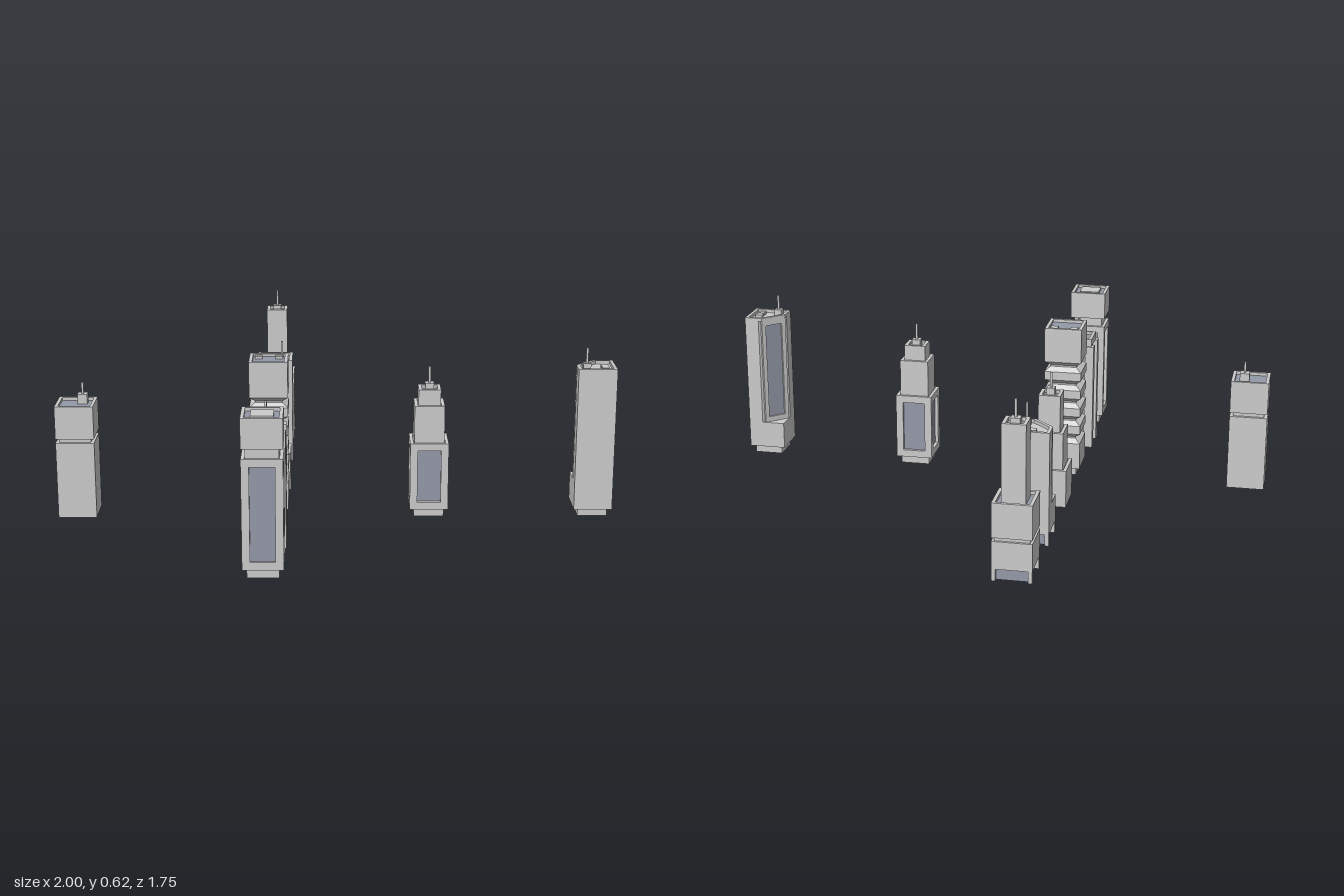
import * as THREE from 'three';

const wall = new THREE.MeshStandardMaterial({ color: 0xcccccc, flatShading: true });
const glass = new THREE.MeshStandardMaterial({ color: 0x9499a8, flatShading: true });
const W = 0.138; // full footprint width
const RIM = 0.012; // parapet thickness and height

function add(g, name, geo, mat = wall) {
  const m = new THREE.Mesh(geo, mat);
  m.name = name;
  g.add(m);
  return m;
}

// Square block from y0 to y1
function block(g, name, w, y0, y1, x = 0, z = 0, mat = wall) {
  add(g, name, new THREE.BoxGeometry(w, y1 - y0, w), mat).position.set(x, (y0 + y1) / 2, z);
}

function rect(w, h, C = THREE.Shape) {
  return new C([[-w, -h], [w, -h], [w, h], [-w, h]].map(([x, y]) => new THREE.Vector2(x / 2, y / 2)));
}

// Plan outline (x, -z) raised from y0 to y1
function prism(g, name, shape, y0, y1, mat = wall) {
  const geo = new THREE.ExtrudeGeometry(shape, { depth: y1 - y0, bevelEnabled: false });
  geo.rotateX(-Math.PI / 2).translate(0, y0, 0);
  add(g, name, geo, mat);
}

// Parapet around a sunken roof; the roof surface is one rim below y1
function roof(g, w, y1, mat = glass) {
  const ring = rect(w, w);
  ring.holes.push(rect(w - 2 * RIM, w - 2 * RIM, THREE.Path));
  prism(g, 'parapet', ring, y1 - RIM, y1);
  block(g, 'roofDeck', w - 2 * RIM, y1 - RIM - 0.002, y1 - RIM + 0.001, 0, 0, mat);
}

// Block with a sunken roof
function tier(g, name, w, y0, y1) {
  block(g, name, w, y0, y1 - RIM);
  roof(g, w, y1);
}

function antenna(g, y0, y1, top, w = 0.032, x = 0, z = 0) {
  block(g, 'antennaBase', w, y0 - RIM, y1, x, z);
  block(g, 'antenna', 0.008, y1, top, x, z);
}

// Frame panel in the xy plane, with a window hole
function framePanel(w, h, ww, wh, depth) {
  const s = rect(w, h);
  s.holes.push(rect(ww, wh, THREE.Path));
  return new THREE.ExtrudeGeometry(s, { depth, bevelEnabled: false });
}

// Glass core behind four framed windows
function windowBody(g, y0, y1) {
  const d = 0.012, h = y1 - y0;
  block(g, 'windowGlass', W - 2 * d, y0 + 0.001, y1 - RIM - 0.001, 0, 0, glass);
  for (let i = 0; i < 4; i++) {
    const p = add(g, 'windowFrame', framePanel(W, h, 0.084, h - 0.054, d)
      .translate(0, (y0 + y1) / 2, W / 2 - d));
    p.rotation.y = i * Math.PI / 2;
  }
  block(g, 'bodyFloor', W - 0.002, y0, y0 + 0.005);
  roof(g, W, y1);
}

// Glazed ground floor between corner posts
function lobby(g, h) {
  block(g, 'lobbyGlass', W - 0.028, 0, h, 0, 0, glass);
  for (const sx of [-1, 1]) for (const sz of [-1, 1])
    block(g, 'cornerPost', 0.014, 0, h, sx * (W / 2 - 0.007), sz * (W / 2 - 0.007));
}

// Square plan with the (-x, -z) corner cut off
function cutSquare(w, cut, C = THREE.Shape) {
  const h = w / 2;
  return new C([[-h, -h], [h, -h], [h, h], [-h + cut, h], [-h, h - cut]]
    .map(([x, y]) => new THREE.Vector2(x, y)));
}

// Tower with a cut, glazed corner above a square podium
function cornerTower(g, y0, podium, top, tip) {
  const cut = 0.071, d = 0.01;
  block(g, 'podium', W, y0, podium);
  prism(g, 'shaft', cutSquare(W, cut + d * Math.SQRT2), podium, top - RIM);
  const ring = cutSquare(W, cut);
  ring.holes.push(cutSquare(W - 2 * RIM, cut - 0.007, THREE.Path));
  prism(g, 'parapet', ring, top - RIM, top);
  // Glazed facet, facing the cut corner
  const facet = new THREE.Group();
  facet.name = 'cornerWindow';
  facet.rotation.y = -Math.PI * 0.75;
  const h = top - RIM - podium, r = (W - cut) / Math.SQRT2;
  add(facet, 'cornerFrame', framePanel(cut * Math.SQRT2, h, 0.068, h - 0.04, d))
    .position.set(0, podium + h / 2, r - d);
  add(facet, 'cornerGlass', new THREE.BoxGeometry(0.07, h - 0.03, 0.004), glass)
    .position.set(0, podium + h / 2, r - d);
  g.add(facet);
  for (const z of [-0.004, 0.028]) block(g, 'roofUnit', 0.026, top - RIM, top - 0.002, 0.032, z);
  antenna(g, top, top + 0.014, tip, 0.027, -0.036, 0.028);
}

const buildings = {
  spireTower: [-0.237, -0.807, g => {
    lobby(g, 0.042);
    block(g, 'base', W, 0.042, 0.14);
    block(g, 'neck', 0.12, 0.14, 0.153);
    tier(g, 'midBlock', W, 0.153, 0.275);
    tier(g, 'shaft', 0.082, 0.263, 0.54);
    antenna(g, 0.54, 0.552, 0.614);
  }],
  shortCornerTower: [-0.237, -0.492, g => {
    lobby(g, 0.042);
    cornerTower(g, 0.042, 0.14, 0.413, 0.483);
    g.rotation.y = Math.PI / 2;
  }],
  notchedTower: [-0.237, -0.131, g => {
    // Two lower tiers share a slot in the front
    const n = 0.025, back = -0.04;
    const slotted = (w, front) => {
      const h = w / 2, f = -front / 2;
      return [[-h, f], [-n, f], [-n, back], [n, back], [n, f], [h, f], [h, h], [-h, h]]
        .map(([x, y]) => new THREE.Vector2(x, y));
    };
    for (const [w, y0, y1] of [[W, 0, 0.14], [0.108, 0.128, 0.277]]) {
      prism(g, 'slottedTier', new THREE.Shape(slotted(w, w)), y0, y1 - RIM);
      prism(g, 'terrace', new THREE.Shape(slotted(w - 0.02, w - 0.02)), y1 - RIM, y1 - RIM + 0.001, glass);
      const t = RIM, h = w / 2;
      // Parapet walls, open at the slot
      const walls = [[w, t, 0, -h + t / 2], [t, w, h - t / 2, 0], [t, w, -h + t / 2, 0],
        [h - n, t, (h + n) / 2, h - t / 2], [h - n, t, -(h + n) / 2, h - t / 2]];
      for (const [a, b, x, z] of walls)
        add(g, 'parapet', new THREE.BoxGeometry(a, t, b)).position.set(x, y1 - t / 2, z);
    }
    tier(g, 'topTier', 0.08, 0.12, 0.413);
    antenna(g, 0.413, 0.434, 0.49, 0.03);
  }],
  ribbedTower: [-0.237, 0.188, g => {
    // Square profile with V grooves, as a four-sided lathe
    const o = W / Math.SQRT2, k = (W - 0.04) / Math.SQRT2, p = (W - 0.03) / Math.SQRT2;
    const pts = [[0, 0], [p, 0], [p, 0.03], [o, 0.03]];
    for (let i = 0; i < 5; i++) {
      const y = 0.13 + i * 0.07;
      pts.push([o, y], [k, y + 0.016], [k, y + 0.022], [o, y + 0.038]);
    }
    pts.push([o, 0.578 - RIM], [0, 0.578 - RIM]);
    const geo = new THREE.LatheGeometry(pts.map(q => new THREE.Vector2(...q)), 4).rotateY(Math.PI / 4);
    add(g, 'ribbedBody', geo.toNonIndexed());
    roof(g, W, 0.578);
    for (const x of [-0.037, 0.037]) block(g, 'roofUnit', 0.027, 0.566, 0.576, x, -0.037);
  }],
  channelTower: [-0.237, 0.512, g => {
    // Glass core, L-shaped corner piers, narrower cap
    block(g, 'glassCore', 0.104, 0, 0.415, 0, 0, glass);
    const a = W / 2, b = 0.035, c = 0.048;
    const L = [[b, c], [c, c], [c, b], [a, b], [a, a], [b, a]].map(q => new THREE.Vector2(...q));
    for (let i = 0; i < 4; i++) {
      prism(g, 'cornerPier', new THREE.Shape(L), 0, 0.415);
      g.children[g.children.length - 1].rotation.y = i * Math.PI / 2;
    }
    tier(g, 'cap', 0.118, 0.413, 0.443);
    antenna(g, 0.443, 0.47, 0.51, 0.04);
  }],
  frameTower: [-0.237, 0.806, g => {
    block(g, 'plinth', 0.108, 0, 0.033);
    windowBody(g, 0.033, 0.413);
    block(g, 'neck', 0.112, 0.4, 0.447);
    tier(g, 'topBlock', W, 0.447, 0.551);
    block(g, 'roofBlock', 0.076, 0.539, 0.55);
  }],
  splitTower: [-0.931, 0.188, g => {
    block(g, 'lowerBlock', W, 0, 0.28);
    block(g, 'neck', 0.114, 0.28, 0.295);
    tier(g, 'upperBlock', W, 0.295, 0.415);
    antenna(g, 0.415, 0.44, 0.481, 0.035, 0.022, -0.025);
  }],
  setbackTower: [0.338, 0.188, g => {
    block(g, 'plinth', 0.108, 0, 0.03);
    windowBody(g, 0.03, 0.277);
    tier(g, 'middleTier', 0.108, 0.264, 0.413);
    tier(g, 'topTier', 0.08, 0.4, 0.47);
    antenna(g, 0.47, 0.487, 0.546, 0.032);
  }],
  tallCornerTower: [0.931, 0.188, g => {
    block(g, 'plinth', 0.106, 0, 0.03);
    cornerTower(g, 0.03, 0.13, 0.552, 0.621);
  }],
};

export function createModel() {
  const model = new THREE.Group();
  model.name = 'towers';
  for (const [name, [x, z, build]] of Object.entries(buildings)) {
    const g = new THREE.Group();
    g.name = name;
    g.position.set(x, 0, z);
    build(g);
    model.add(g);
  }
  return model;
}
